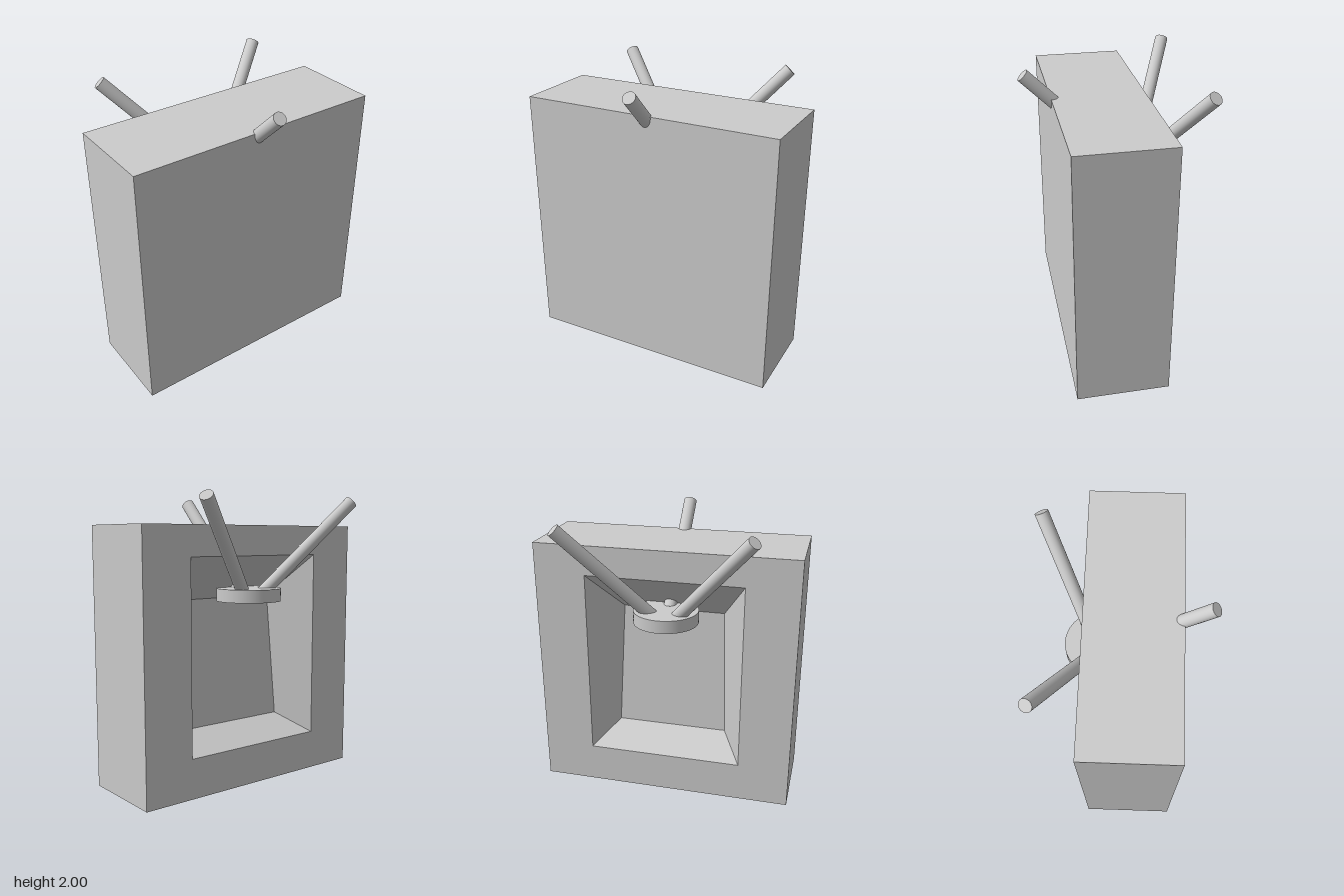
import * as THREE from 'three';

const mat = new THREE.MeshStandardMaterial({ color: 0xcccccc });

// Four corners of a rectangle or trapezoid facing -x: bottom pair, then top pair
const loop = (xBottom, xTop, yBottom, yTop, zBottom, zTop) => [
  [xBottom, yBottom, -zBottom], [xBottom, yBottom, zBottom],
  [xTop, yTop, zTop], [xTop, yTop, -zTop],
];

// Flat-faced skin through a series of four-cornered loops, closed at both ends
function skin(loops) {
  const pos = [];
  const quad = (a, b, c, d) => pos.push(...a, ...b, ...c, ...a, ...c, ...d);
  for (let i = 0; i < loops.length - 1; i++) {
    const a = loops[i], b = loops[i + 1];
    for (let j = 0; j < 4; j++) {
      const k = (j + 1) % 4;
      quad(a[j], a[k], b[k], b[j]);
    }
  }
  quad(...[...loops[0]].reverse());
  quad(...loops[loops.length - 1]);
  const geometry = new THREE.BufferGeometry();
  geometry.setAttribute('position', new THREE.Float32BufferAttribute(pos, 3));
  geometry.computeVertexNormals();
  return geometry;
}

export function createModel() {
  const root = new THREE.Group();
  const add = (name, geometry) => {
    const mesh = new THREE.Mesh(geometry, mat);
    mesh.name = name;
    root.add(mesh);
    return mesh;
  };

  // Cabinet: a block with a funnel-shaped recess narrowing inwards from its -x side
  const x0 = -0.26, x1 = 0.373, height = 1.805, halfDepth = 0.903;
  add('cabinet', skin([
    loop(x1, x1, 0, height, halfDepth, halfDepth),
    loop(x0, x0, 0, height, halfDepth, halfDepth),
    loop(x0, x0, 0.277, 1.6, 0.545, 0.545),
    loop(x0 + 0.25, x0 + 0.31, 0.402, 1.298, 0.399, 0.364),
  ]));

  // Round hub, partly set into the recess
  const hubX = -0.176;
  add('hub', new THREE.CylinderGeometry(0.223, 0.223, 0.088, 64)).position.set(hubX, 1.332, 0);

  // Three rods rising from the hub at 45 degrees, spaced evenly around it
  const up = new THREE.Vector3(0, 1, 0);
  for (let i = 0; i < 3; i++) {
    const a = i * Math.PI * 2 / 3;
    const point = (r) => new THREE.Vector3(hubX + r * Math.cos(a), 1.245 + r, r * Math.sin(a));
    const start = point(0.1), end = point(0.725);
    const rod = add('rod' + (i + 1),
      new THREE.CylinderGeometry(0.045, 0.045, start.distanceTo(end), 32));
    rod.position.copy(start).lerp(end, 0.5);
    rod.quaternion.setFromUnitVectors(up, end.clone().sub(start).normalize());
  }
  return root;
}
